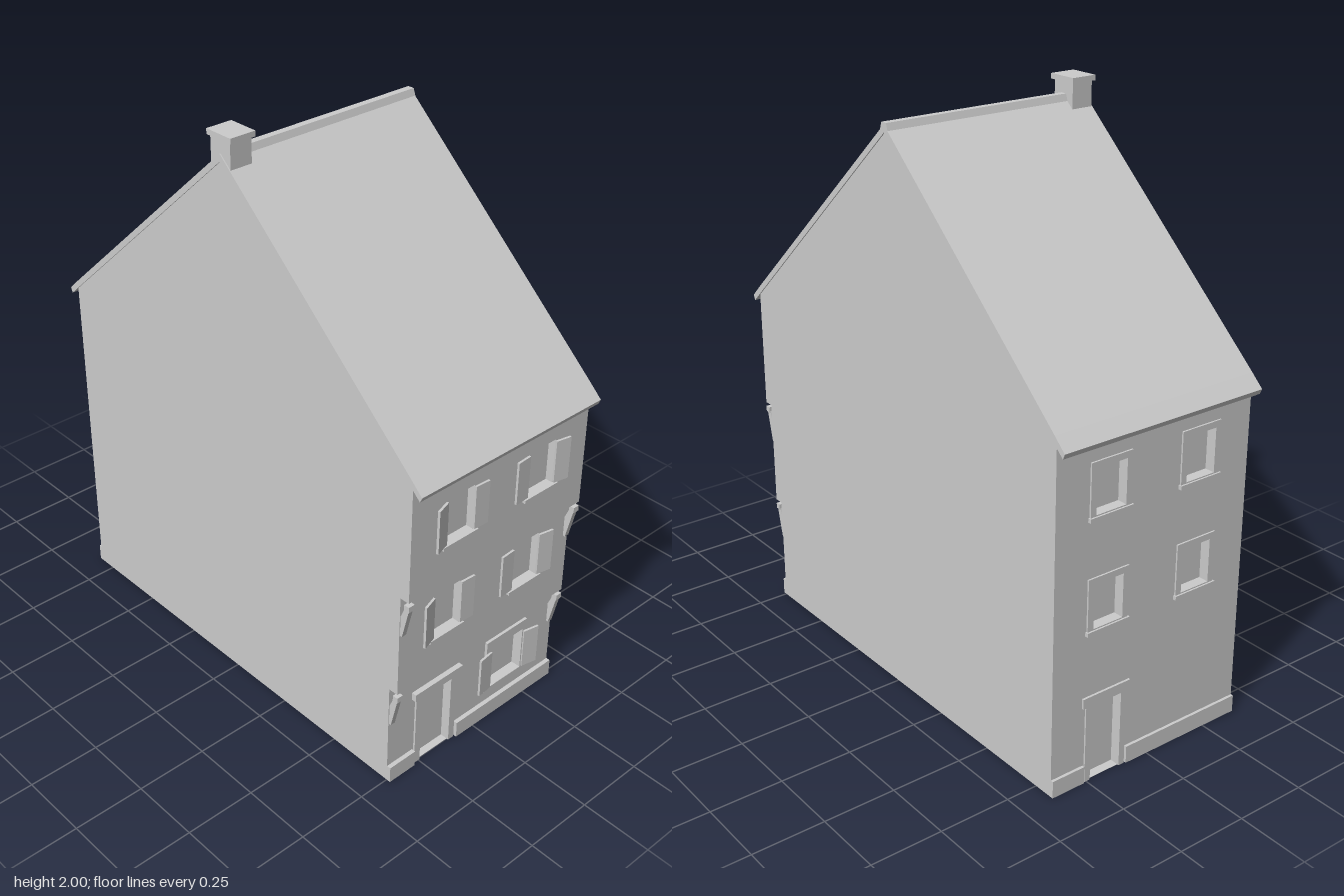
import * as THREE from 'three';

export function createModel() {
  const house = new THREE.Group();
  house.name = 'townHouse';
  const plaster = new THREE.MeshStandardMaterial({ color: 0xcccccc, side: THREE.DoubleSide });
  plaster.name = 'pale grey plaster';

  const add = (name, geometry, parent = house) => {
    const mesh = new THREE.Mesh(geometry, plaster);
    mesh.name = name;
    parent.add(mesh);
    return mesh;
  };
  // box given by its limits
  const box = (name, x0, x1, y0, y1, z0, z1, parent) => {
    const g = new THREE.BoxGeometry(x1 - x0, y1 - y0, z1 - z0);
    g.translate((x0 + x1) / 2, (y0 + y1) / 2, (z0 + z1) / 2);
    return add(name, g, parent);
  };
  const polygon = (pts) => new THREE.Shape(pts.map(([x, y]) => new THREE.Vector2(x, y)));
  const rect = ([x0, x1, y0, y1]) => polygon([[x0, y0], [x1, y0], [x1, y1], [x0, y1]]);
  // upright slab from z0 to z1 with rectangular openings
  const slab = (name, outer, holes, z0, z1) => {
    const s = rect(outer);
    s.holes = holes.map((h) => new THREE.Path(rect(h).getPoints().reverse()));
    const g = new THREE.ExtrudeGeometry(s, { depth: z1 - z0, bevelEnabled: false });
    return add(name, g.translate(0, 0, z0));
  };
  // (z, y) profile swept along x from x0 to x1
  const sweep = (name, pts, x0, x1) => {
    const g = new THREE.ExtrudeGeometry(polygon(pts), { depth: x1 - x0, bevelEnabled: false });
    return add(name, g.rotateY(-Math.PI / 2).translate(x1, 0, 0));
  };

  const W = 0.388, T = 0.04, B = -0.82;

  // gable walls, stepping out over each storey at the front
  const gable = [[0.75, 0], [0.75, 0.385], [0.785, 0.385], [0.785, 0.765], [0.82, 0.765],
    [0.82, 1.195], [0, 1.925], [B, 1.195], [B, 0]];
  sweep('rightGable', gable, -W, -W + T);
  sweep('leftGable', gable, W - T, W);

  // roof shell with slightly kicked eaves
  const top = [[0.86, 1.168], [0.815, 1.21], [0, 1.937], [-0.815, 1.21], [-0.86, 1.168]];
  const under = [[-0.852, 1.15], [-0.81, 1.188], [0, 1.912], [0.81, 1.188], [0.852, 1.15]];
  sweep('roof', [...top, ...under], -0.392, 0.392);
  sweep('ridgeCap', [[0.02, 1.92], [0.012, 1.943], [-0.012, 1.943], [-0.02, 1.92]], -0.31, 0.392);

  // chimney
  box('chimneyShaft', -0.388, -0.308, 1.89, 1.985, -0.045, 0.045);
  box('chimneyCap', -0.394, -0.3, 1.982, 2, -0.055, 0.055);

  // front storeys: wall slabs with openings and recessed panes
  const door = [-0.245, -0.11, 0.001, 0.28];
  const shop = [0.08, 0.23, 0.12, 0.285];
  const pair = (y0, y1) => [[-0.245, -0.125, y0, y1], [0.115, 0.238, y0, y1]];
  const storeys = [
    { y0: 0, y1: 0.385, z: 0.75, open: [door, shop] },
    { y0: 0.385, y1: 0.765, z: 0.785, open: pair(0.53, 0.695) },
    { y0: 0.765, y1: 1.19, z: 0.82, open: pair(0.91, 1.07) },
  ];
  for (const { y0, y1, z, open } of storeys) {
    slab('frontWall', [-W, W, y0, y1], open, z - T, z);
    for (const [a, b, c, d] of open) box('frontPane', a, b, c, d, z - T, z - 0.026);
  }

  // shutter hinged at x, reaching out to side s, swung by the given angle
  const shutter = (x, s, y0, y1, z, width, angle) => {
    const g = new THREE.Group();
    g.name = 'shutter';
    g.position.set(x, 0, z);
    g.rotation.y = -s * angle;
    box('shutterPanel', Math.min(0, s * width), Math.max(0, s * width), y0, y1, 0, 0.008, g);
    house.add(g);
  };
  for (const { z, open } of storeys.slice(1)) {
    for (const [a, b, c, d] of open) {
      const outerLeft = a < 0;
      shutter(a, -1, c + 0.003, d - 0.004, z, 0.056, outerLeft ? 0.3 : 0.06);
      shutter(b, 1, c + 0.003, d - 0.004, z, 0.056, outerLeft ? 0.06 : 0.2);
      box('frontSill', a - 0.015, b + 0.015, c - 0.012, c, z - 0.02, z + 0.012);
    }
  }

  // ground floor window surround and shutters
  slab('shopSurround', [0.055, 0.25, 0.107, 0.32], [shop], 0.745, 0.76);
  shutter(0.075, -1, 0.125, 0.275, 0.758, 0.06, 0.12);
  shutter(0.235, 1, 0.125, 0.275, 0.758, 0.06, 0.2);

  // front door surround, hood and plinth
  for (const [a, b] of [[-0.27, -0.245], [-0.11, -0.085]]) box('doorJamb', a, b, 0, 0.28, 0.74, 0.757);
  box('doorHood', -0.285, -0.07, 0.28, 0.308, 0.74, 0.768);
  for (const [a, b] of [[-W, -0.275], [-0.08, W]]) box('frontPlinth', a, b, 0, 0.06, 0.74, 0.765);

  // sloping brackets under the overhangs
  for (const [y, z] of [[0.24, 0.75], [0.62, 0.785]]) {
    for (const s of [-1, 1]) {
      const x = s * 0.376;
      sweep('bracket', [[z - 0.002, y], [z + 0.008, y], [z + 0.036, y + 0.125],
        [z + 0.022, y + 0.13], [z - 0.002, y + 0.07]], x - 0.009, x + 0.009);
      box('bracketHead', x - 0.012, x + 0.012, y + 0.11, y + 0.13, z + 0.016, z + 0.036);
    }
  }

  // rear wall with windows and a door
  const rearDoor = [0.115, 0.235, 0.001, 0.27];
  const rearWindows = [];
  for (const y of [0.54, 0.92]) {
    for (const x of [-0.18, 0.18]) rearWindows.push([x - 0.058, x + 0.058, y, y + 0.15]);
  }
  slab('rearWall', [-W, W, 0, 1.19], [rearDoor, ...rearWindows], B, B + T);
  for (const w of [rearDoor, ...rearWindows]) box('rearPane', ...w, B + 0.03, B + T);
  for (const w of rearWindows) {
    const [a, b, c, d] = w;
    slab('rearWindowFrame', [a - 0.022, b + 0.022, c - 0.015, d + 0.022], [w], B - 0.006, B + 0.004);
    box('rearSill', a - 0.026, b + 0.026, c - 0.018, c - 0.004, B - 0.012, B);
  }
  for (const [a, b] of [[0.093, 0.115], [0.235, 0.257]]) box('rearDoorJamb', a, b, 0, 0.27, B - 0.006, B);
  box('rearDoorLintel', 0.08, 0.27, 0.27, 0.305, B - 0.008, B);
  for (const [a, b] of [[-W, 0.088], [0.262, W]]) box('rearPlinth', a, b, 0, 0.06, B - 0.01, B);

  return house;
}
